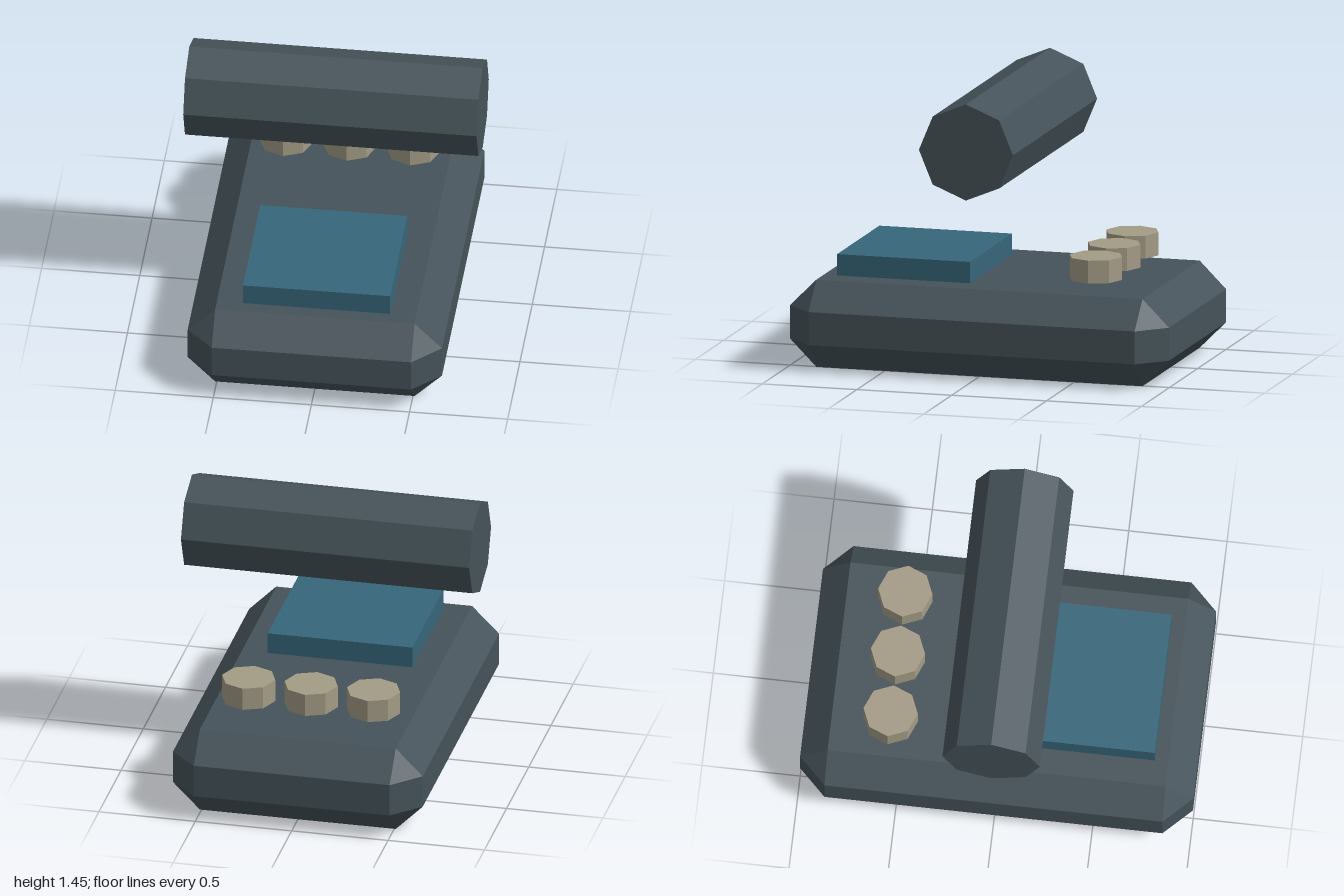
import * as THREE from 'three';
import { ConvexGeometry } from 'three/addons/geometries/ConvexGeometry.js';

const material = (color) => new THREE.MeshStandardMaterial({ color, flatShading: true });

// Box with every edge cut at 45 degrees and triangular corners
function chamferedBox(w, h, d, c) {
  const points = [];
  for (const sx of [-1, 1]) for (const sy of [-1, 1]) for (const sz of [-1, 1]) {
    const x = w / 2, y = h / 2, z = d / 2;
    points.push(
      new THREE.Vector3(sx * x, sy * (y - c), sz * (z - c)),
      new THREE.Vector3(sx * (x - c), sy * y, sz * (z - c)),
      new THREE.Vector3(sx * (x - c), sy * (y - c), sz * z)
    );
  }
  return new ConvexGeometry(points);
}

export function createModel() {
  const model = new THREE.Group();
  const slate = material(0x46535a);
  const blue = material(0x36667a);
  const tan = material(0xa39b85);

  const add = (name, geometry, mat, x, y, z) => {
    const mesh = new THREE.Mesh(geometry, mat);
    mesh.name = name;
    mesh.position.set(x, y, z);
    model.add(mesh);
    return mesh;
  };

  // Chamfered body resting on the ground
  add('body', chamferedBox(1.296, 0.45, 2, 0.14), slate, 0, 0.225, 0);

  // Raised panel towards the front
  add('panel', new THREE.BoxGeometry(0.75, 0.12, 0.7), blue, 0, 0.5, 0.44);

  // Row of three octagonal knobs, hovering just above the body at the back
  const knob = new THREE.CylinderGeometry(0.138, 0.138, 0.118, 8);
  ['rightKnob', 'middleKnob', 'leftKnob'].forEach((name, i) => {
    add(name, knob, tan, (i - 1) * 0.324, 0.562, -0.56);
  });

  // Octagonal bar floating across the model
  const bar = add('handleBar', new THREE.CylinderGeometry(0.248, 0.248, 1.495, 8), slate, 0, 1.203, 0);
  bar.rotation.z = Math.PI / 2;

  return model;
}
